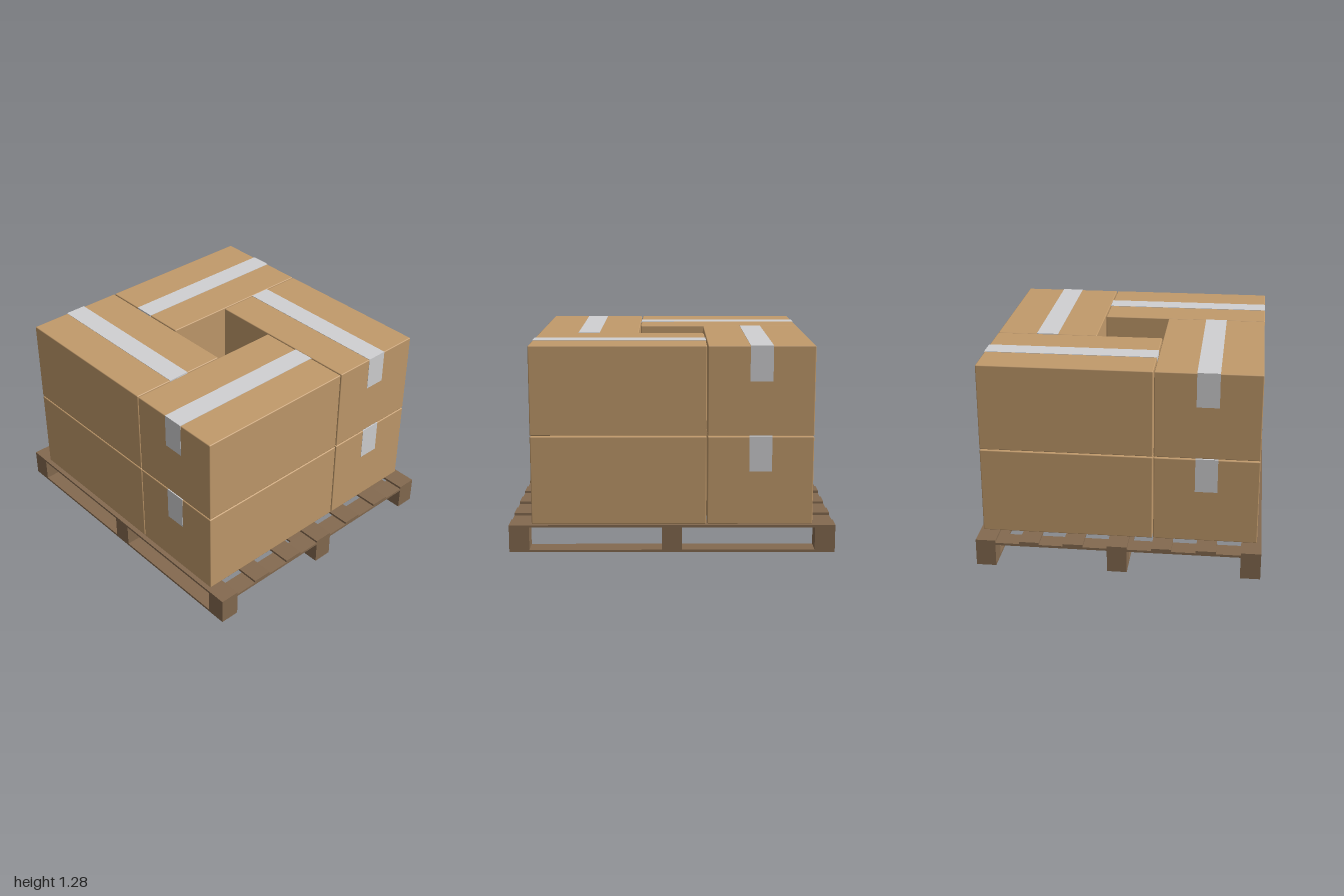
import * as THREE from 'three';
import { RoundedBoxGeometry } from 'three/addons/geometries/RoundedBoxGeometry.js';

const material = (name, color) => {
  const m = new THREE.MeshStandardMaterial({ color });
  m.name = name;
  return m;
};

export function createModel() {
  const wood = material('pallet wood', 0x846a50);
  const cardboard = material('cardboard', 0xc19a6b);
  const tape = material('pale tape', 0xd0d0d2);

  const add = (parent, name, geometry, mat, x, y, z) => {
    const mesh = new THREE.Mesh(geometry, mat);
    mesh.name = name;
    mesh.position.set(x, y, z);
    parent.add(mesh);
    return mesh;
  };

  const model = new THREE.Group();
  model.name = 'loadedPallet';

  // Pallet: runners, blocks, stringers and deck boards
  const pallet = new THREE.Group();
  pallet.name = 'pallet';
  model.add(pallet);
  const W = 0.124, T = 0.015, LENGTH = 2, DEPTH = 1.768;
  const blockHeight = 0.127;
  const runner = new THREE.BoxGeometry(LENGTH, T, W);
  const block = new THREE.BoxGeometry(W, blockHeight, W);
  const stringer = new THREE.BoxGeometry(W, T, DEPTH);
  const deckBoard = new THREE.BoxGeometry(LENGTH, T, W);
  for (const i of [-1, 0, 1]) {
    const z = i * (DEPTH - W) / 2;
    add(pallet, 'bottomRunner', runner, wood, 0, T / 2, z);
    for (const j of [-1, 0, 1]) {
      add(pallet, 'block', block, wood, j * (LENGTH - W) / 2, T + blockHeight / 2, z);
    }
    add(pallet, 'stringer', stringer, wood, i * (LENGTH - W) / 2, T * 1.5 + blockHeight, 0);
  }
  for (let i = -3; i <= 3; i++) {
    add(pallet, 'deckBoard', deckBoard, wood, 0, T * 2.5 + blockHeight, i * (DEPTH - W) / 6);
  }

  // One carton lying along x, with tape over the top and down both ends
  const L = 1.07, H = 0.547, D = 0.645, TAPE = 0.138, THIN = 0.003, DROP = 0.217;
  const cartonGeometry = new RoundedBoxGeometry(L, H, D, 2, 0.006);
  const tapeTop = new THREE.BoxGeometry(L + THIN, THIN, TAPE);
  const tapeEnd = new THREE.BoxGeometry(THIN, DROP, TAPE);
  const makeCarton = () => {
    const carton = new THREE.Group();
    carton.name = 'carton';
    add(carton, 'cartonBody', cartonGeometry, cardboard, 0, H / 2, 0);
    add(carton, 'tapeTop', tapeTop, tape, 0, H + THIN / 2 - 0.0005, 0);
    for (const s of [-1, 1]) {
      add(carton, 'tapeEnd', tapeEnd, tape, s * L / 2, H + THIN - 0.0005 - DROP / 2, 0);
    }
    return carton;
  };

  // Two layers of four cartons in a pinwheel around an open centre
  for (let layer = 0; layer < 2; layer++) {
    const stack = new THREE.Group();
    stack.name = layer ? 'upperLayer' : 'lowerLayer';
    stack.position.set(0, 0.173 + layer * 0.553, -0.004);
    for (let k = 0; k < 4; k++) {
      const quarter = new THREE.Group();
      quarter.name = 'pinwheelQuarter';
      quarter.rotation.y = k * Math.PI / 2;
      const carton = makeCarton();
      carton.position.set(-0.326, 0, 0.538);
      quarter.add(carton);
      stack.add(quarter);
    }
    model.add(stack);
  }
  return model;
}
